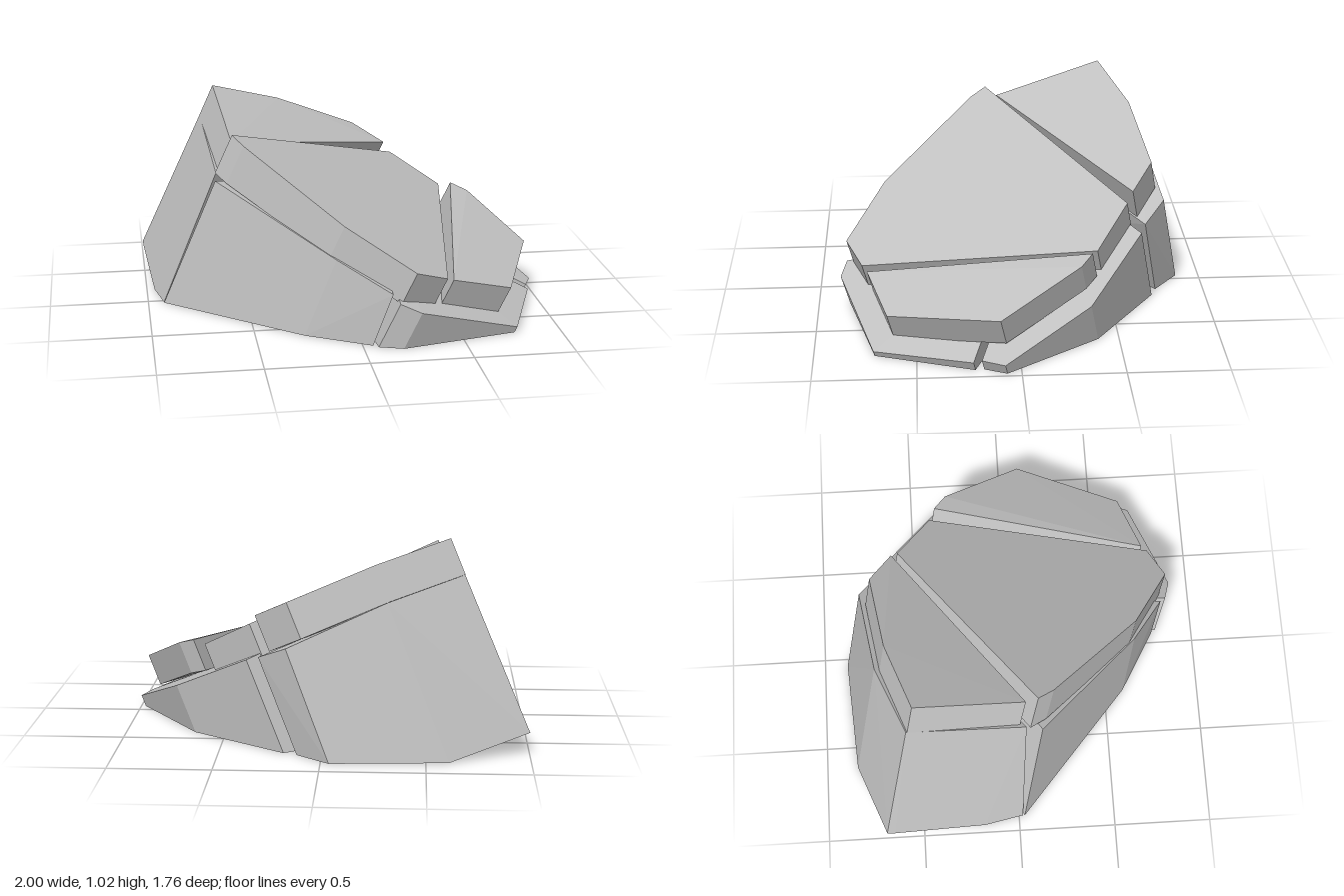
import * as THREE from 'three';
import { ConvexGeometry } from 'three/addons/geometries/ConvexGeometry.js';

// Double-sided because the base blocks are open underneath
const stone = new THREE.MeshStandardMaterial({ color: 0xc0c0c0, side: THREE.DoubleSide });
stone.name = 'grey stone';

// Direction in which the rock splits: all side walls run along it (per unit of height)
const LEAN = new THREE.Vector3(0.42, 1, 0.2);

const toVectors = (points) => points.map((p) => new THREE.Vector3(...p));
const lowered = (v, drop) => v.clone().addScaledVector(LEAN, -drop);

function chunk(name, geometry) {
  const mesh = new THREE.Mesh(geometry, stone);
  mesh.name = name;
  return mesh;
}

// Plate of the upper layer: a sloping top pushed down along the lean,
// thickening towards -x by the given rate
function slab(name, top, drop, thickening = 0) {
  const upper = toVectors(top);
  const lower = upper.map((v) => lowered(v, drop + thickening * Math.max(0, -v.x)));
  return chunk(name, new ConvexGeometry([...upper, ...lower]));
}

// Block of the lower layer, from a rim and a foot, with the faces on the ground left out
function block(name, rim, foot) {
  const upper = toVectors(rim);
  const lower = foot ? toVectors(foot) : upper.map((v) => lowered(v, v.y));
  const hull = new ConvexGeometry([...upper, ...lower]);
  const { position, normal } = hull.attributes;
  const kept = [];
  for (let i = 0; i < position.count; i += 3) {
    if (normal.getY(i) > -0.8) kept.push(...position.array.slice(i * 3, i * 3 + 9));
  }
  const open = new THREE.BufferGeometry();
  open.setAttribute('position', new THREE.Float32BufferAttribute(kept, 3));
  open.computeVertexNormals();
  return chunk(name, open);
}

export function createModel() {
  const rock = new THREE.Group();
  rock.name = 'crackedRock';

  // Height of the main sloping face
  const slope = (x, z, down = 0) => [x, 0.9 - 0.467 * (x + 0.56) - 0.195 * (z - 0.11) - down, z];

  // Upper layer, split by two long cracks
  rock.add(slab('mainTopSlab', [
    slope(-0.56, 0.11), slope(-0.51, 0.19), slope(-0.07, 0.65), slope(0.25, 0.845),
    slope(0.415, 0.765), slope(0.6, -0.39), slope(0.36, -0.56),
  ], 0.16, 0.08));
  rock.add(slab('sideTopSlab', [
    [0.66, 0.47, -0.36], [0.74, 0.44, -0.30], [0.96, 0.27, 0.10], [0.76, 0.21, 0.64], [0.45, 0.3, 0.74],
  ], 0.15));
  rock.add(slab('backTopSlab', [
    [-0.61, 1.02, -0.50], [-0.25, 0.91, -0.63], [0.17, 0.74, -0.70], [0.33, 0.65, -0.59], [-0.56, 0.85, 0.05],
  ], 0.17));

  // Lower layer resting on the ground
  rock.add(block('frontBaseBlock',
    [[-0.65, 0.67, 0.13], [-0.11, 0.4, 0.65], [0.14, 0.27, 0.82], slope(0.12, -0.36, 0.17)],
    [[-0.92, 0, 0.03], [-0.26, 0, 0.6], [0.05, 0, 0.78], [-0.12, 0, -0.5]]));
  rock.add(block('sideBaseBlock', [
    [0.17, 0.23, 0.85], [0.27, 0.19, 0.88], [0.78, 0.03, 0.71], [0.955, 0.05, 0.23], slope(0.17, -0.06, 0.17),
  ]));
  rock.add(block('rearSideBaseBlock', [
    [0.955, 0.06, 0.19], [1, 0.055, 0.08], [0.75, 0.23, -0.35], [0.37, 0.44, -0.635],
    slope(0.18, -0.48, 0.17), slope(0.17, -0.1, 0.17),
  ]));
  // Back block, with its lower edge rising at the outer corner
  rock.add(block('backBaseBlock',
    [[-0.68, 0.85, -0.54], [-0.31, 0.74, -0.69], [0.17, 0.53, -0.77], [0.31, 0.46, -0.66], [-0.64, 0.69, 0.05]],
    [[-0.04, 0, -0.88], [-0.61, 0, -0.84], [-1, 0.11, -0.69], [-1, 0.1, -0.65],
      [-0.96, 0, -0.18], [-0.92, 0, 0.02], [0.12, 0, -0.75]]));

  return rock;
}
